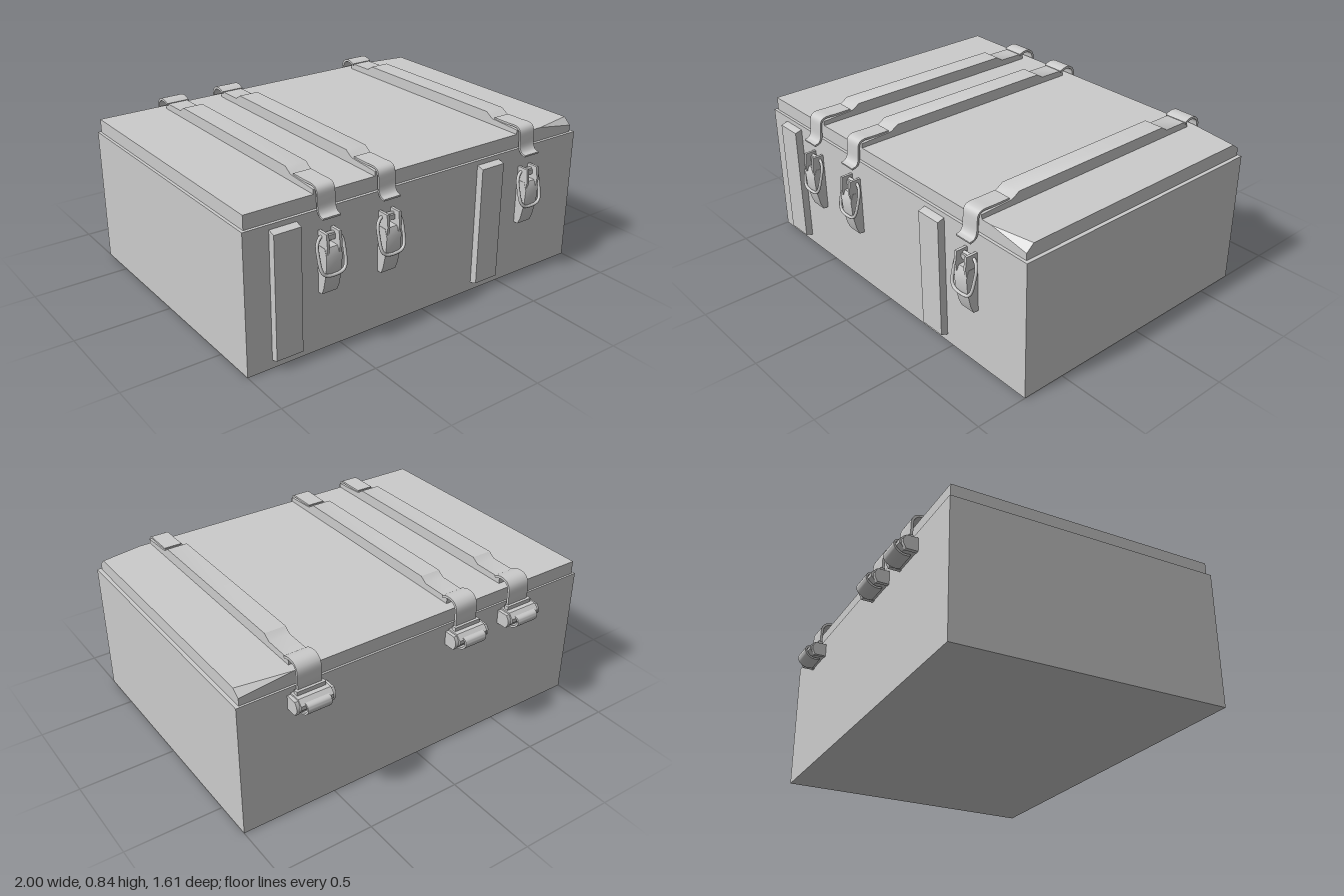
import * as THREE from 'three';
import { toCreasedNormals } from 'three/addons/utils/BufferGeometryUtils.js';
import { ConvexGeometry } from 'three/addons/geometries/ConvexGeometry.js';

const mat = new THREE.MeshStandardMaterial({ color: 0xcccccc });

function add(parent, name, geometry, x = 0, y = 0, z = 0) {
  const mesh = new THREE.Mesh(geometry, mat);
  mesh.name = name;
  mesh.position.set(x, y, z);
  parent.add(mesh);
  return mesh;
}

// Box given by its limits on each axis
function block(parent, name, x0, x1, y0, y1, z0, z1) {
  return add(parent, name, new THREE.BoxGeometry(x1 - x0, y1 - y0, z1 - z0),
    (x0 + x1) / 2, (y0 + y1) / 2, (z0 + z1) / 2);
}

// Side profile of [z, y] points, extruded to a width across x
function profile(points, width) {
  const shape = new THREE.Shape(points.map(p => new THREE.Vector2(p[0], p[1])));
  const geo = new THREE.ExtrudeGeometry(shape, { depth: width, bevelEnabled: false });
  geo.translate(0, 0, -width / 2).rotateY(-Math.PI / 2);
  return toCreasedNormals(geo, 0.6);
}

// Bent metal strip following smooth [z, y] points
function ribbon(points, width, thick = 0.01, steps = 20) {
  const curve = new THREE.CatmullRomCurve3(
    points.map(p => new THREE.Vector3(p[0], p[1], 0)), false, 'centripetal');
  const outer = [], inner = [];
  for (let i = 0; i <= steps; i++) {
    const p = curve.getPoint(i / steps), t = curve.getTangent(i / steps);
    const dx = -t.y * thick / 2, dy = t.x * thick / 2;
    outer.push([p.x + dx, p.y + dy]);
    inner.unshift([p.x - dx, p.y - dy]);
  }
  return profile([...outer, ...inner], width);
}

function makeStrap() {
  const g = new THREE.Group();
  g.name = 'lidStrap';
  // Long raised bar across the lid
  add(g, 'strapBar', profile([
    [0.715, 0.765], [0.715, 0.803], [0.545, 0.812], [0.535, 0.815], [0.5, 0.838],
    [-0.45, 0.838], [-0.485, 0.814], [-0.645, 0.812], [-0.645, 0.77],
  ], 0.11));
  // Front hook, flaring out at its lower end
  add(g, 'frontHook', ribbon([
    [0.55, 0.814], [0.64, 0.814], [0.705, 0.814], [0.724, 0.8], [0.73, 0.76],
    [0.735, 0.71], [0.75, 0.687], [0.775, 0.68],
  ], 0.095));
  // Rear strip curling down to the hinge
  add(g, 'rearStrip', ribbon([
    [-0.62, 0.81], [-0.655, 0.822], [-0.695, 0.818], [-0.717, 0.795],
    [-0.722, 0.74], [-0.722, 0.67],
  ], 0.125, 0.013));
  return g;
}

function makeHinge() {
  const g = new THREE.Group();
  g.name = 'hinge';
  add(g, 'hingeBody', profile([
    [-0.7, 0.605], [-0.7, 0.68], [-0.765, 0.68], [-0.79, 0.655],
    [-0.79, 0.635], [-0.765, 0.605],
  ], 0.17));
  // Wider end caps
  for (const s of [-1, 1]) {
    const cap = add(g, 'hingeCap', profile([
      [-0.705, 0.6], [-0.705, 0.672], [-0.765, 0.672], [-0.78, 0.65],
      [-0.78, 0.628], [-0.765, 0.6],
    ], 0.02));
    cap.position.x = s * 0.0925;
  }
  block(g, 'strapRung', -0.075, 0.075, 0.675, 0.7, -0.742, -0.718);
  // Curled clip under the hinge
  add(g, 'hingeClip', ribbon([
    [-0.782, 0.66], [-0.8, 0.652], [-0.804, 0.63], [-0.785, 0.605], [-0.755, 0.593], [-0.725, 0.595],
  ], 0.125));
  return g;
}

function makeLatch() {
  const g = new THREE.Group();
  g.name = 'latch';
  // Tapered lever body
  add(g, 'latchLever', profile([
    [0.72, 0.305], [0.757, 0.305], [0.772, 0.34], [0.79, 0.42], [0.795, 0.5],
    [0.78, 0.54], [0.72, 0.54],
  ], 0.085));
  // Cheeks around the slot, and a pin between them
  for (const s of [-1, 1]) {
    const cheek = add(g, 'latchCheek', profile([
      [0.72, 0.5], [0.79, 0.5], [0.798, 0.55], [0.79, 0.612], [0.72, 0.612],
    ], 0.014));
    cheek.position.x = s * 0.034;
  }
  block(g, 'latchPin', -0.03, 0.03, 0.565, 0.59, 0.735, 0.765);
  // Wire loop, leaning outwards at its foot
  const half = [[0.042, 0.588], [0.066, 0.56], [0.071, 0.5], [0.063, 0.435], [0.042, 0.415]];
  const pts = [...half, ...half.map(([x, y]) => [-x, y]).reverse()]
    .map(([x, y]) => new THREE.Vector3(x, y, 0.75 + (0.59 - y) * 0.26));
  const loop = new THREE.CatmullRomCurve3(pts, true, 'centripetal');
  add(g, 'latchLoop', new THREE.TubeGeometry(loop, 48, 0.008, 8, true));
  return g;
}

export function createModel() {
  const model = new THREE.Group();
  model.name = 'strappedChest';

  block(model, 'chestBody', -1, 1, 0, 0.71, -0.705, 0.73);

  // Lid with two knocked-down corners on the left end
  const lid = [
    [-0.985, 0.71, -0.695], [-0.985, 0.71, 0.715], [0.98, 0.71, -0.695], [0.98, 0.71, 0.715],
    [-0.985, 0.78, -0.695], [-0.985, 0.78, 0.715],
    [0.76, 0.78, 0.715], [0.98, 0.78, 0.675], [0.98, 0.745, 0.715],
    [0.7, 0.78, -0.695], [0.98, 0.78, -0.655], [0.98, 0.75, -0.695],
  ];
  add(model, 'lid', new ConvexGeometry(lid.map(p => new THREE.Vector3(...p))));

  // Straps, each with its hinge and latch
  for (const x of [-0.577, -0.243, 0.645]) {
    for (const part of [makeStrap(), makeHinge(), makeLatch()]) {
      part.position.x = x;
      model.add(part);
    }
  }

  // Upright battens on the front
  for (const x of [-0.8, 0.39]) {
    add(model, 'frontBatten', profile([
      [0.72, 0.043], [0.735, 0.043], [0.768, 0.055], [0.768, 0.675], [0.735, 0.685], [0.72, 0.685],
    ], 0.14), x);
  }
  return model;
}
